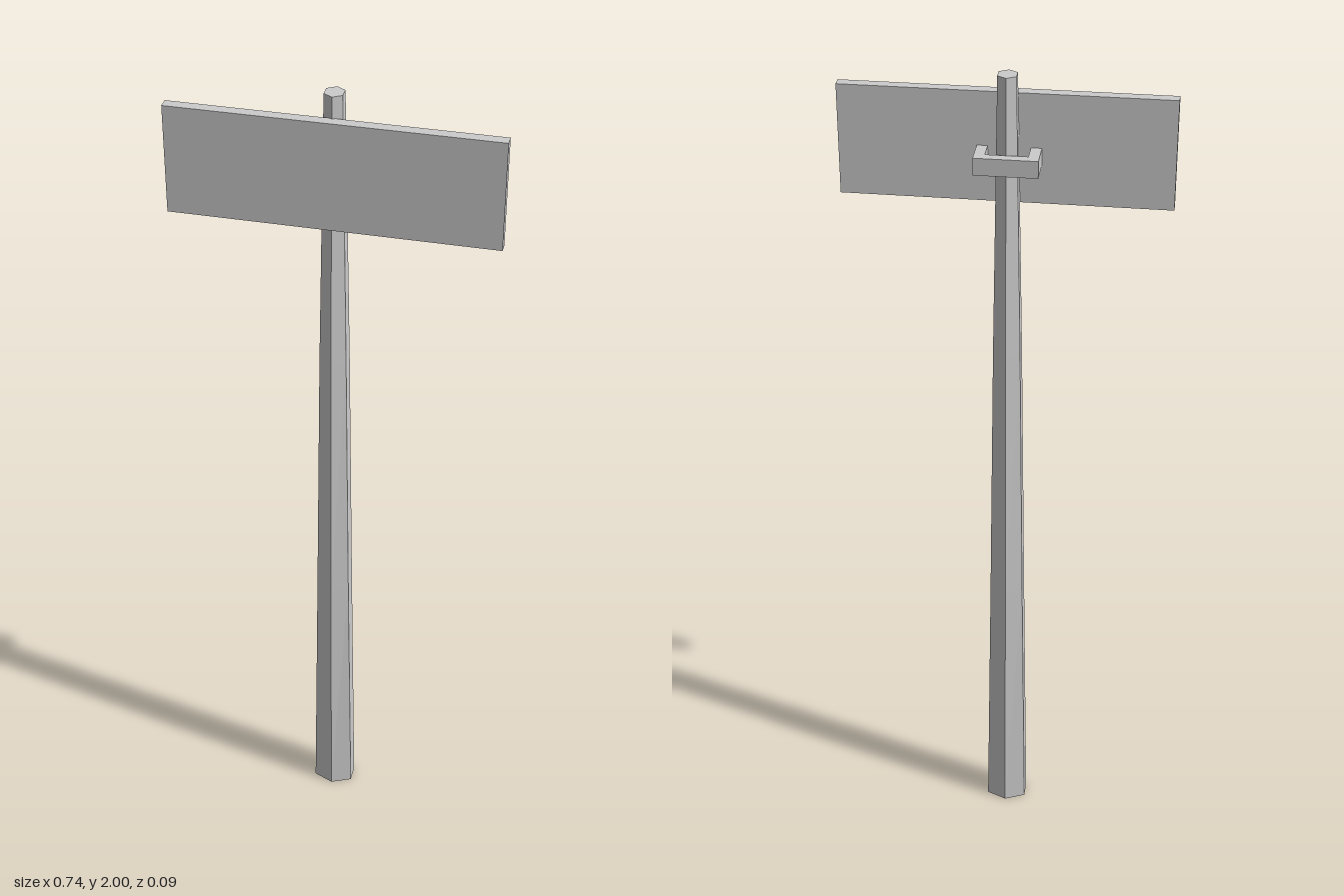
import * as THREE from 'three';

const material = new THREE.MeshStandardMaterial({ color: 0xcccccc, flatShading: true });

function addBox(parent, name, [x0, x1], [y0, y1], [z0, z1]) {
  const mesh = new THREE.Mesh(new THREE.BoxGeometry(x1 - x0, y1 - y0, z1 - z0), material);
  mesh.position.set((x0 + x1) / 2, (y0 + y1) / 2, (z0 + z1) / 2);
  mesh.name = name;
  parent.add(mesh);
}

// Six-sided post, tapered ring by ring: [half width, half depth, z offset] from the ground up
function makePost() {
  const rings = [
    [0.048, 0.042, 0.002],
    [0.039, 0.041, 0.002],
    [0.031, 0.037, 0.001],
    [0.0205, 0.025, -0.001],
  ];
  const geometry = new THREE.CylinderGeometry(1, 1, 2, 6, rings.length - 1);
  geometry.translate(0, 1, 0);
  const p = geometry.attributes.position;
  const cornerX = Math.sin(Math.PI / 3);
  for (let i = 0; i < p.count; i++) {
    const [w, d, z] = rings[Math.round((p.getY(i) / 2) * (rings.length - 1))];
    p.setX(i, (p.getX(i) / cornerX) * w - 0.006);
    p.setZ(i, p.getZ(i) * d + z);
  }
  geometry.computeVertexNormals();
  const post = new THREE.Mesh(geometry, material);
  post.name = 'post';
  return post;
}

// U-shaped strap holding the board to the post
function makeBracket() {
  const outline = [
    [-0.078, 0.021], [-0.054, 0.021], [-0.054, -0.026], [0.04, -0.026],
    [0.04, 0.021], [0.064, 0.021], [0.064, -0.048], [-0.078, -0.048],
  ];
  const shape = new THREE.Shape(outline.map(([x, z]) => new THREE.Vector2(x, -z)));
  const geometry = new THREE.ExtrudeGeometry(shape, { depth: 0.04, bevelEnabled: false });
  geometry.rotateX(-Math.PI / 2);
  const bracket = new THREE.Mesh(geometry, material);
  bracket.position.y = 1.785;
  bracket.name = 'bracket';
  return bracket;
}

export function createModel() {
  const model = new THREE.Group();
  model.name = 'signpost';
  model.add(makePost(), makeBracket());
  addBox(model, 'signBoard', [-0.369, 0.369], [1.695, 1.95], [0.021, 0.046]);
  return model;
}
